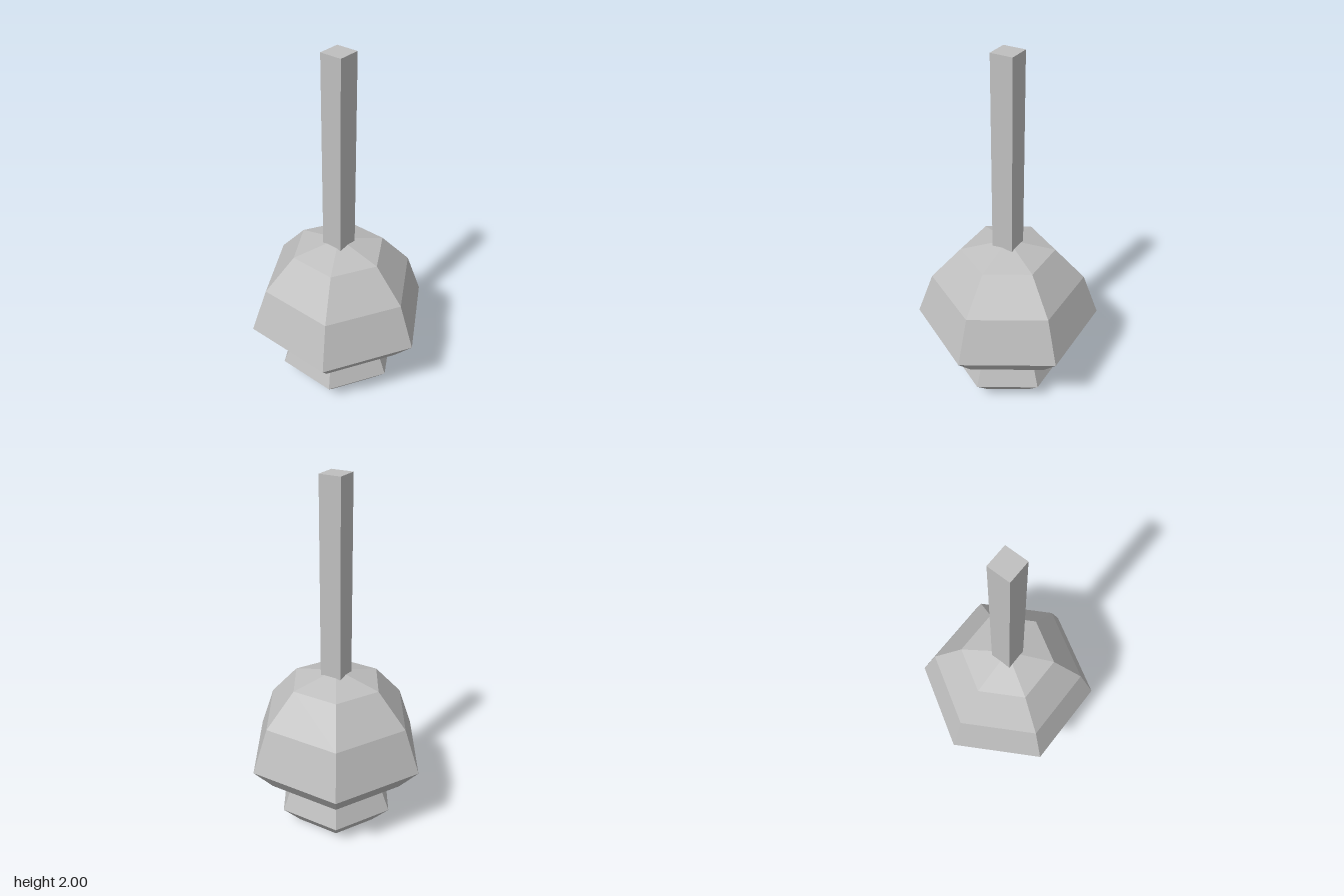
import * as THREE from 'three';

const grey = new THREE.MeshStandardMaterial({ color: 0xbfbfbf });
grey.name = 'grey';

// Six-sided faceted solid turned from a [radius, height] profile, corners on the x axis
function hexSolid(name, profile) {
  const points = profile.map(([r, y]) => new THREE.Vector2(r, y));
  const geometry = new THREE.LatheGeometry(points, 6, Math.PI / 2).toNonIndexed();
  geometry.computeVertexNormals();
  const mesh = new THREE.Mesh(geometry, grey);
  mesh.name = name;
  return mesh;
}

export function createModel() {
  const model = new THREE.Group();
  model.name = 'model';

  // Small flared base, closed inside the dome
  model.add(hexSolid('base', [[0, 0], [0.244, 0], [0.348, 0.113], [0.27, 0.31], [0, 0.31]]));

  // Wide faceted dome with a tapered underside
  model.add(hexSolid('dome', [
    [0, 0.307], [0.408, 0.307], [0.519, 0.436], [0.429, 0.686], [0.261, 0.875], [0, 0.94],
  ]));

  // Square upright rod
  const bottom = 0.86;
  const rod = new THREE.Mesh(new THREE.BoxGeometry(0.122, 2 - bottom, 0.122), grey);
  rod.name = 'rod';
  rod.position.y = (2 + bottom) / 2;
  model.add(rod);

  return model;
}
